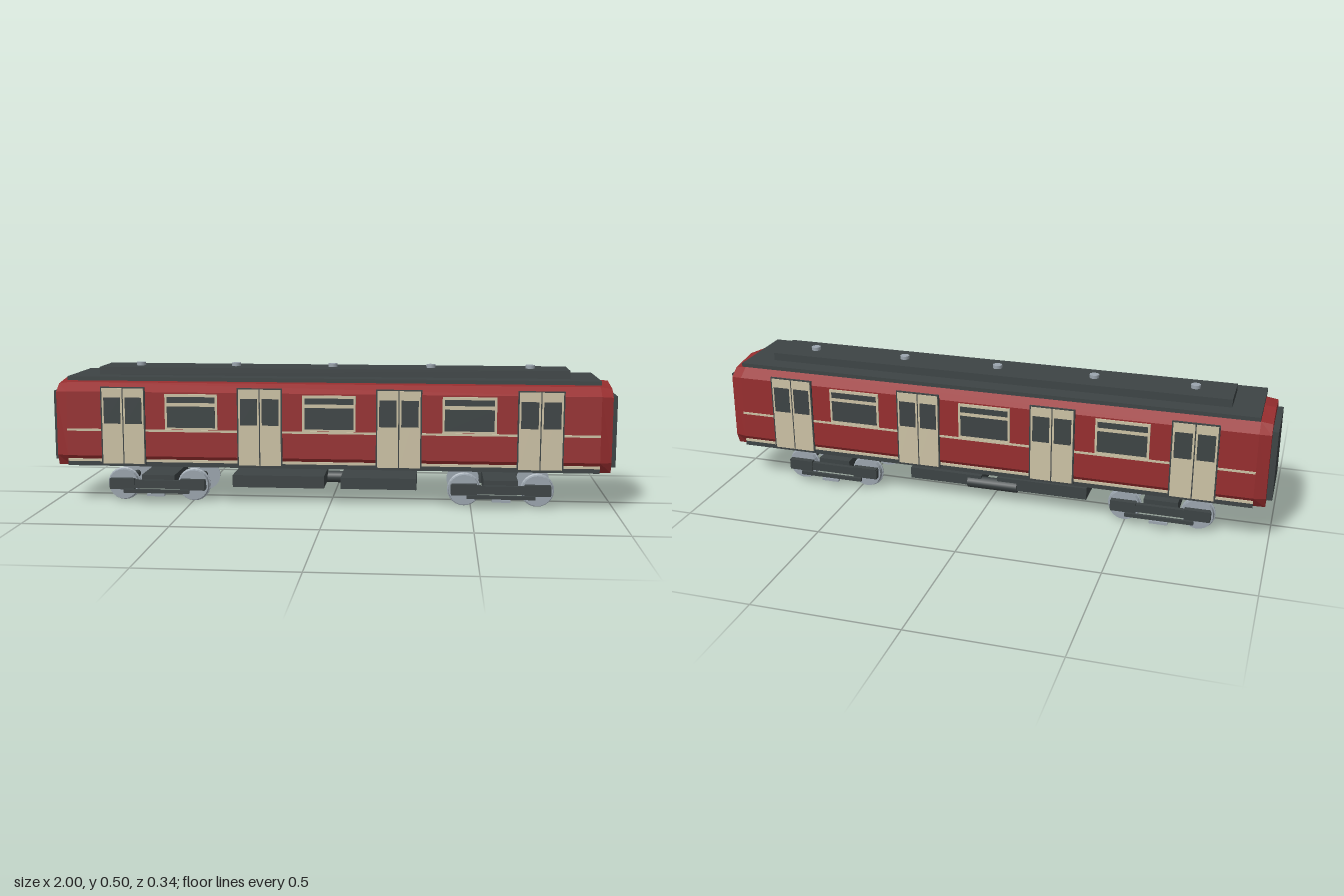
import * as THREE from 'three';

export function createModel() {
  const mat = (name, color) => {
    const m = new THREE.MeshStandardMaterial({ color });
    m.name = name;
    return m;
  };
  const red = mat('red paint', 0x962d2e);
  const dark = mat('dark grey', 0x3d4445);
  const cream = mat('cream', 0xcdc3a6);
  const steel = mat('steel', 0x9ca6af);

  const model = new THREE.Group();
  model.name = 'railCarriage';

  const add = (parent, name, geometry, material) => {
    const mesh = new THREE.Mesh(geometry, material);
    mesh.name = name;
    parent.add(mesh);
    return mesh;
  };
  // Box given by its extents on each axis
  const box = (parent, name, material, x0, x1, y0, y1, z0, z1) => {
    const g = new THREE.BoxGeometry(x1 - x0, y1 - y0, z1 - z0);
    g.translate((x0 + x1) / 2, (y0 + y1) / 2, (z0 + z1) / 2);
    return add(parent, name, g, material);
  };
  const group = (parent, name, x = 0) => {
    const g = new THREE.Group();
    g.name = name;
    g.position.x = x;
    parent.add(g);
    return g;
  };

  // Body shell: faceted cross-section, slightly drawn in at both ends
  const middle = [[0.145, 0.1375], [0.168, 0.175], [0.163, 0.405], [0.12, 0.434], [0, 0.448]];
  const end = [[0.143, 0.1375], [0.158, 0.175], [0.155, 0.402], [0.118, 0.428], [0, 0.444]];
  const ring = (half, x) => [
    ...half.map(([z, y]) => [x, y, -z]),
    ...half.slice(0, -1).reverse().map(([z, y]) => [x, y, z]),
  ];
  const rings = [ring(end, -0.98), ring(middle, -0.94), ring(middle, 0.94), ring(end, 0.98)];
  const n = rings[0].length;
  const index = [];
  for (let i = 0; i < 3; i++) {
    for (let j = 0; j < n; j++) {
      const a = i * n + j, b = i * n + (j + 1) % n;
      index.push(a, b, b + n, a, b + n, a + n);
    }
  }
  for (let k = 1; k < n - 1; k++) {
    index.push(0, k + 1, k, 3 * n, 3 * n + k, 3 * n + k + 1);
  }
  const indexed = new THREE.BufferGeometry();
  indexed.setAttribute('position', new THREE.Float32BufferAttribute(rings.flat(2), 3));
  indexed.setIndex(index);
  const shell = indexed.toNonIndexed();
  shell.computeVertexNormals();
  add(model, 'bodyShell', shell, red);

  // Gangway panels on the ends
  for (const s of [-1, 1]) {
    box(model, 'endPanel', dark, Math.min(s * 0.97, s), Math.max(s * 0.97, s), 0.153, 0.402, -0.12, 0.12);
  }

  // Roof
  box(model, 'roofPlate', dark, -0.94, 0.94, 0.443, 0.457, -0.145, 0.145);
  box(model, 'roofDuct', dark, -0.84, 0.84, 0.457, 0.485, -0.08, 0.08);
  for (let i = -2; i <= 2; i++) {
    const vent = add(model, 'roofVent', new THREE.CylinderGeometry(0.017, 0.017, 0.014, 10), steel);
    vent.position.set(i * 0.353, 0.49, 0);
  }

  // One side, built on +z and turned round for the other
  const buildSide = (name) => {
    const side = group(model, name);
    box(side, 'sillRail', dark, -0.94, 0.94, 0.138, 0.154, 0.157, 0.165);
    box(side, 'lowerStripe', cream, -0.94, 0.94, 0.154, 0.163, 0.158, 0.1655);
    box(side, 'waistStripe', cream, -0.94, 0.94, 0.264, 0.272, 0.161, 0.168);

    for (const x of [-0.735, -0.245, 0.245, 0.735]) {
      const doors = group(side, 'doubleDoor', x);
      box(doors, 'doorFrame', dark, -0.08, 0.08, 0.144, 0.423, 0.163, 0.17);
      for (const s of [-1, 1]) {
        const c = s * 0.0385;
        box(doors, 'doorLeaf', cream, c - 0.0365, c + 0.0365, 0.148, 0.419, 0.166, 0.1715);
        box(doors, 'doorWindow', dark, c - 0.03, c + 0.03, 0.292, 0.386, 0.167, 0.1723);
      }
    }

    for (const x of [-0.49, 0, 0.49]) {
      const win = group(side, 'sideWindow', x);
      box(win, 'windowFrame', cream, -0.094, 0.094, 0.273, 0.4, 0.1605, 0.1685);
      box(win, 'upperPane', dark, -0.086, 0.086, 0.369, 0.39, 0.162, 0.1697);
      box(win, 'lowerPane', dark, -0.086, 0.086, 0.28, 0.356, 0.162, 0.1697);
    }
    return side;
  };
  buildSide('frontSide');
  buildSide('backSide').rotation.y = Math.PI;

  // Underfloor equipment
  box(model, 'equipmentBoxRight', dark, -0.357, -0.025, 0.053, 0.097, -0.092, 0.092);
  box(model, 'equipmentBoxLeft', dark, 0.035, 0.307, 0.053, 0.094, -0.092, 0.092);
  const tank = new THREE.CylinderGeometry(0.022, 0.022, 0.186, 12).rotateZ(Math.PI / 2);
  add(model, 'airTank', tank, dark).position.set(-0.007, 0.064, -0.08);

  // Wheel profile: inner flange, tread and outer face
  const wheelShape = [[0, 0.093], [0.06, 0.093], [0.06, 0.096], [0.056, 0.098], [0.054, 0.113], [0, 0.113]]
    .map(([r, y]) => new THREE.Vector2(r, y));
  const wheelGeometry = new THREE.LatheGeometry(wheelShape, 24).toNonIndexed();
  wheelGeometry.rotateX(Math.PI / 2);
  wheelGeometry.computeVertexNormals();
  const axleGeometry = new THREE.CylinderGeometry(0.013, 0.013, 0.23, 10).rotateX(Math.PI / 2);

  for (const bx of [-0.626, 0.605]) {
    const bogie = group(model, 'bogie', bx);
    box(bogie, 'bolster', dark, -0.06, 0.06, 0.05, 0.097, -0.115, 0.115);
    for (const wx of [-0.129, 0.129]) {
      add(bogie, 'axle', axleGeometry, dark).position.set(wx, 0.062, 0);
      for (const s of [-1, 1]) {
        const wheel = add(bogie, 'wheel', wheelGeometry, steel);
        wheel.position.set(wx, 0.062, 0);
        if (s < 0) wheel.rotation.y = Math.PI;
      }
    }
    // Side frames with axle boxes, shoe beam and collector shoe
    for (const turn of [0, Math.PI]) {
      const frame = group(bogie, 'sideFrame');
      frame.rotation.y = turn;
      box(frame, 'frameBeam', dark, -0.176, 0.176, 0.05, 0.08, 0.114, 0.13);
      for (const wx of [-0.129, 0.129]) {
        box(frame, 'axleBox', dark, wx - 0.045, wx + 0.045, 0.046, 0.085, 0.113, 0.134);
      }
      box(frame, 'shoeBeam', dark, -0.12, 0.12, 0.037, 0.05, 0.14, 0.151);
      box(frame, 'collectorShoe', steel, -0.032, 0.032, 0.028, 0.037, 0.143, 0.159);
    }
  }

  return model;
}
